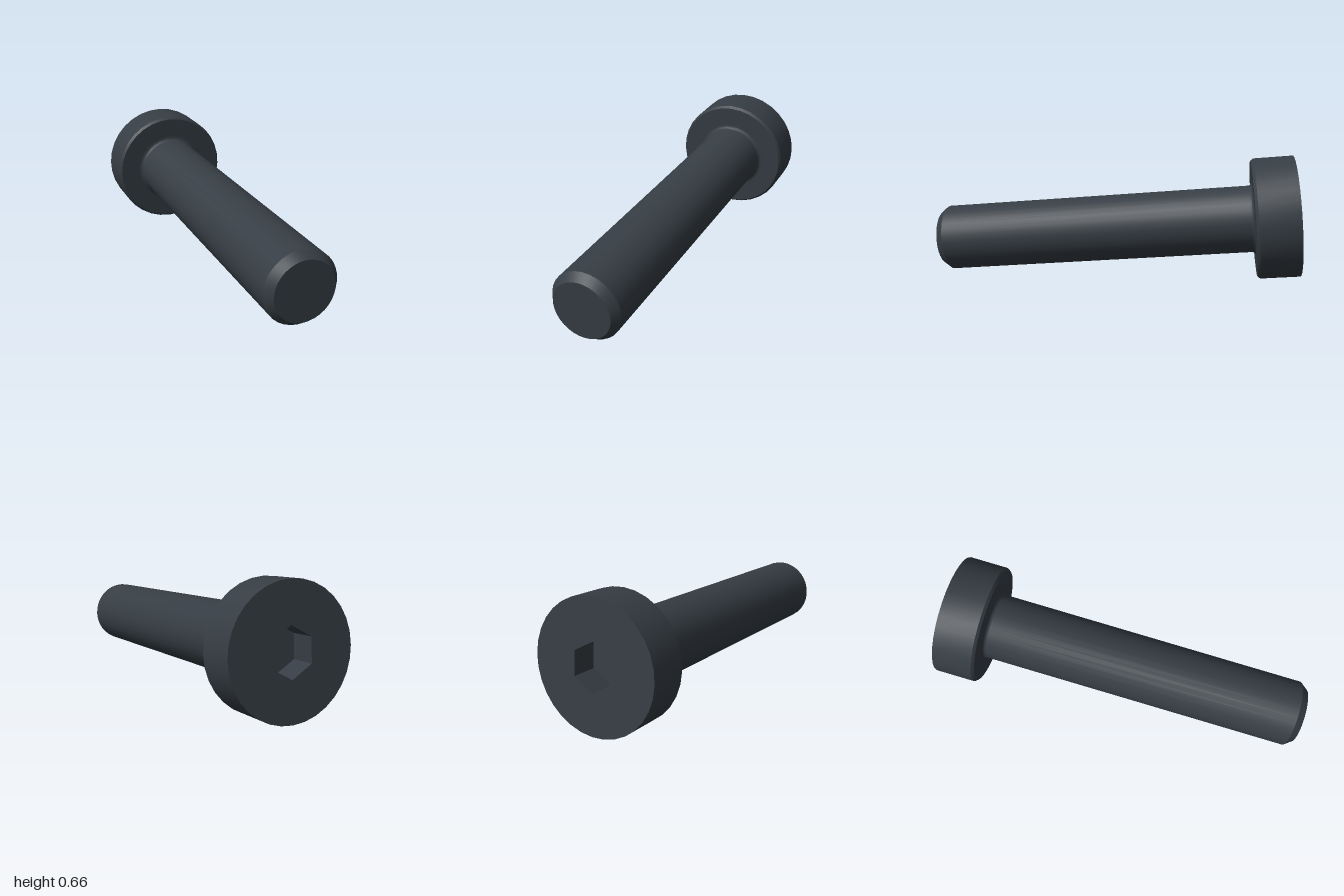
import * as THREE from 'three';
import { toCreasedNormals } from 'three/addons/utils/BufferGeometryUtils.js';

const SIDES = 32;
const HEAD_R = 0.321, SHANK_R = 0.178, SOCKET_R = 0.12, SOCKET_DEPTH = 0.13;
const HEAD_H = 0.222, LENGTH = 1.945, FILLET = 0.02;

// Turned part along +z from [radius, distance] pairs, with crisp chamfer edges
function turned(profile, sides) {
  const geo = new THREE.LatheGeometry(profile.map(([r, h]) => new THREE.Vector2(r, h)), sides);
  geo.rotateX(Math.PI / 2);
  return toCreasedNormals(geo, 0.5);
}

// Regular polygon outline with a corner pointing up
function polygon(r, sides) {
  return Array.from({ length: sides }, (_, i) => {
    const a = (i / sides) * Math.PI * 2;
    return new THREE.Vector2(r * Math.sin(a), r * Math.cos(a));
  });
}

export function createModel() {
  const steel = new THREE.MeshStandardMaterial({ color: 0x363d44 });
  steel.name = 'darkSteel';

  const bolt = new THREE.Group();
  bolt.name = 'bolt';
  const add = (name, geo) => {
    const mesh = new THREE.Mesh(geo, steel);
    mesh.name = name;
    bolt.add(mesh);
  };

  // Head side, small chamfer and underside
  add('head', turned([
    [HEAD_R, 0], [HEAD_R, HEAD_H - 0.014], [HEAD_R - 0.012, HEAD_H], [0.21, HEAD_H],
  ], SIDES));

  // Flat head face with a hexagonal opening
  const face = new THREE.Shape(polygon(HEAD_R, SIDES));
  face.holes.push(new THREE.Path(polygon(SOCKET_R, 6)));
  add('headFace', new THREE.ShapeGeometry(face).rotateY(Math.PI));

  // Hex socket floor and inward-facing walls
  add('hexSocket', turned([[0, SOCKET_DEPTH], [SOCKET_R, SOCKET_DEPTH], [SOCKET_R, 0]], 6));

  // Shank: fillet under the head, straight body, chamfered tip
  const shank = [[0.21, HEAD_H]];
  for (let i = 0; i <= 5; i++) {
    const a = (i / 5) * Math.PI / 2;
    shank.push([SHANK_R + FILLET * (1 - Math.sin(a)), HEAD_H + FILLET * (1 - Math.cos(a))]);
  }
  shank.push([SHANK_R, LENGTH - 0.041], [0.147, LENGTH], [0, LENGTH]);
  add('shank', turned(shank, SIDES));

  // Lay the bolt on its side, resting on head rim and tip
  const axis = new THREE.Vector3(0.9748, -0.0838, 0.2072).normalize();
  const side = new THREE.Vector3(0, 1, 0).cross(axis).normalize();
  const up = axis.clone().cross(side);
  bolt.quaternion.setFromRotationMatrix(new THREE.Matrix4().makeBasis(side, up, axis));
  bolt.position.set(-0.929, 0.337, -0.126);

  const model = new THREE.Group();
  model.name = 'model';
  model.add(bolt);
  return model;
}
